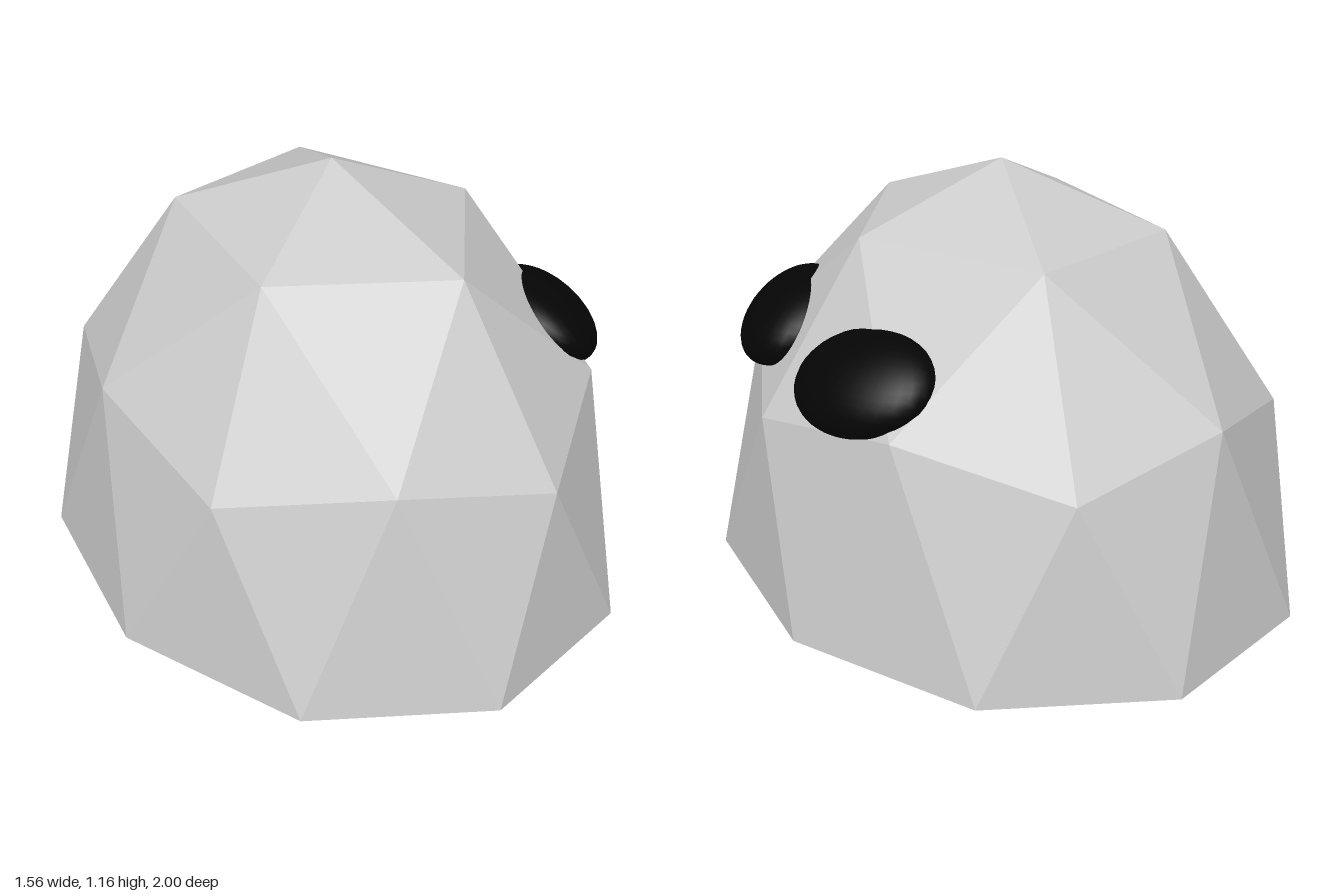
import * as THREE from 'three';

export function createModel() {
  const group = new THREE.Group();
  const shell = new THREE.MeshStandardMaterial({ color: 0xcccccc, flatShading: true });
  shell.name = 'pale grey';
  const black = new THREE.MeshStandardMaterial({ color: 0x050505 });
  black.name = 'black';

  // Faceted dome: upper half of a once-subdivided icosahedron, stretched
  const ring = (radius, y) => (deg) => {
    const a = THREE.MathUtils.degToRad(deg);
    return [0.82 * radius * Math.cos(a), 1.165 * y, -radius * Math.sin(a)];
  };
  const upper = ring(0.526, 0.851);
  const middle = ring(0.851, 0.526);
  const corner = ring(0.894, 0.447);
  const base = ring(1, 0);
  const top = [0, 1.165, 0];
  const centre = [0, 0, 0];
  const points = [];
  const tri = (...corners) => corners.forEach((p) => points.push(...p));

  for (let k = 0; k < 5; k++) {
    const a = 72 * k, b = a + 36, c = a + 72;
    // Crown
    tri(top, upper(a), upper(c));
    tri(upper(a), corner(a), middle(b));
    tri(upper(a), middle(b), upper(c));
    tri(upper(c), middle(b), corner(c));
    // Lower wall
    tri(corner(a), base(a - 18), base(a + 18));
    tri(corner(a), base(a + 18), middle(b));
    tri(middle(b), base(a + 18), base(a + 54));
    tri(middle(b), base(a + 54), corner(c));
    // Underside
    tri(centre, base(a + 18), base(a - 18));
    tri(centre, base(a + 54), base(a + 18));
  }
  const domeGeometry = new THREE.BufferGeometry();
  domeGeometry.setAttribute('position', new THREE.Float32BufferAttribute(points, 3));
  domeGeometry.computeVertexNormals();
  const dome = new THREE.Mesh(domeGeometry, shell);
  dome.name = 'body';
  group.add(dome);

  // Smooth oval eyes, slanted to follow the +x side of the dome
  for (const s of [1, -1]) {
    const geometry = new THREE.SphereGeometry(1, 32, 20);
    geometry.applyMatrix4(new THREE.Matrix4().set(
      0.133, -0.077, -0.045 * s, 0.54,
      0, 0.123, 0, 0.698,
      0, 0, 0.22, 0.29 * s,
      0, 0, 0, 1));
    const eye = new THREE.Mesh(geometry, black);
    eye.name = s > 0 ? 'frontEye' : 'backEye';
    group.add(eye);
  }
  return group;
}
